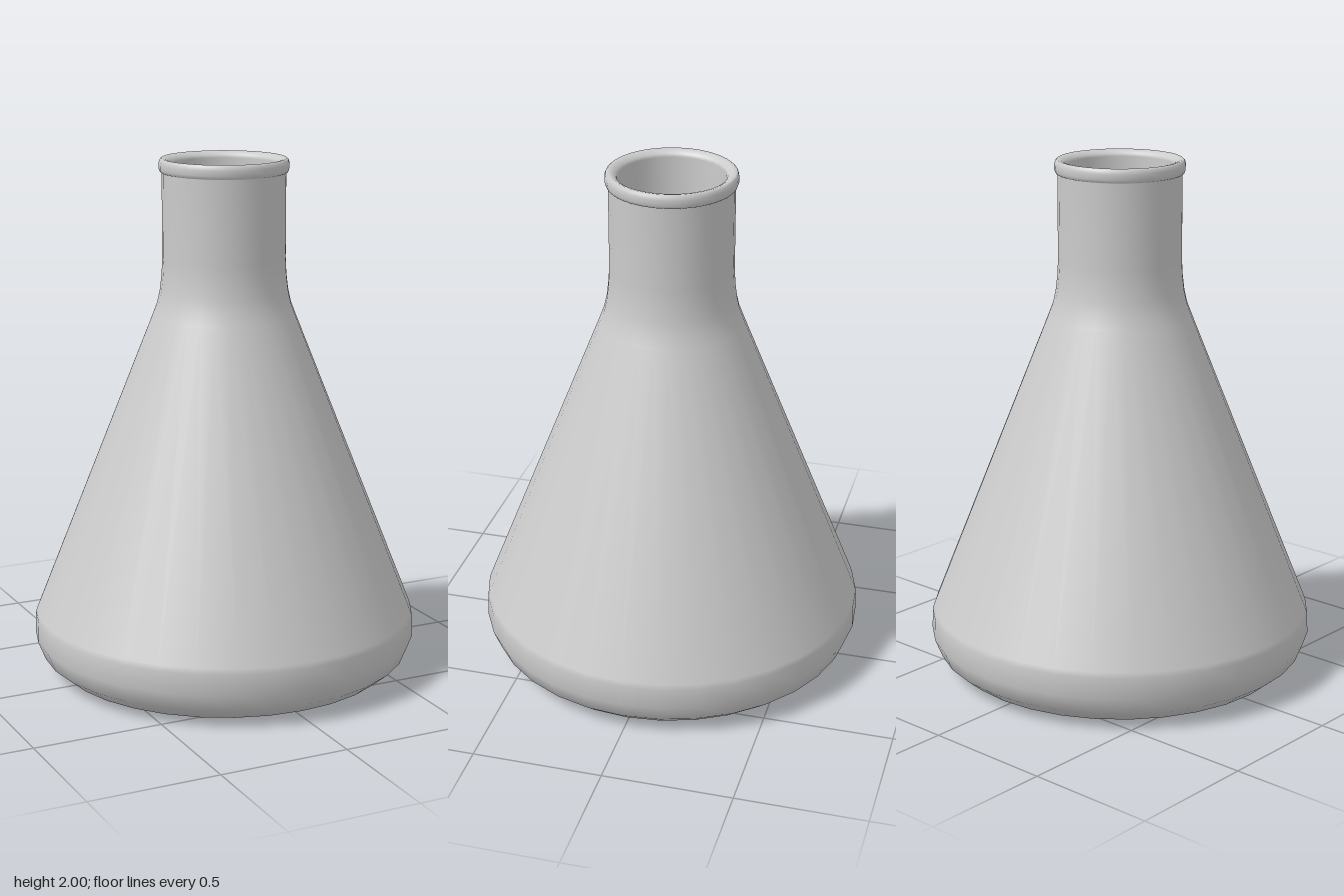
import * as THREE from 'three';

export function createModel() {
  const group = new THREE.Group();
  group.name = 'conicalFlask';
  const material = new THREE.MeshStandardMaterial({ color: 0xcccccc });

  // Outer wall from the base centre up to the lip: [radius, height]
  const outer = [
    [0, 0], [0.55, 0], [0.585, 0.003], [0.66, 0.022], [0.717, 0.07],
    [0.745, 0.14], [0.742, 0.22], [0.735, 0.24],
    [0.275, 1.4], [0.256, 1.45], [0.245, 1.5], [0.238, 1.56], [0.235, 1.62],
    [0.235, 1.945],
  ];
  // Rolled lip around the mouth
  const lip = [
    [0.241, 1.948], [0.246, 1.96], [0.247, 1.98], [0.243, 1.994], [0.236, 2],
    [0.222, 1.997], [0.206, 1.987], [0.201, 1.975],
  ];
  // Inner wall back down to the floor
  const inner = [
    [0.2, 1.62], [0.203, 1.56], [0.21, 1.5], [0.221, 1.45], [0.24, 1.4],
    [0.7, 0.235], [0.707, 0.22], [0.71, 0.14], [0.69, 0.09], [0.645, 0.055],
    [0.58, 0.037], [0.55, 0.035], [0, 0.035],
  ];

  const profile = [...outer, ...lip, ...inner].map(([r, y]) => new THREE.Vector2(r, y));
  const body = new THREE.Mesh(new THREE.LatheGeometry(profile, 32), material);
  body.name = 'flaskBody';
  group.add(body);
  return group;
}
